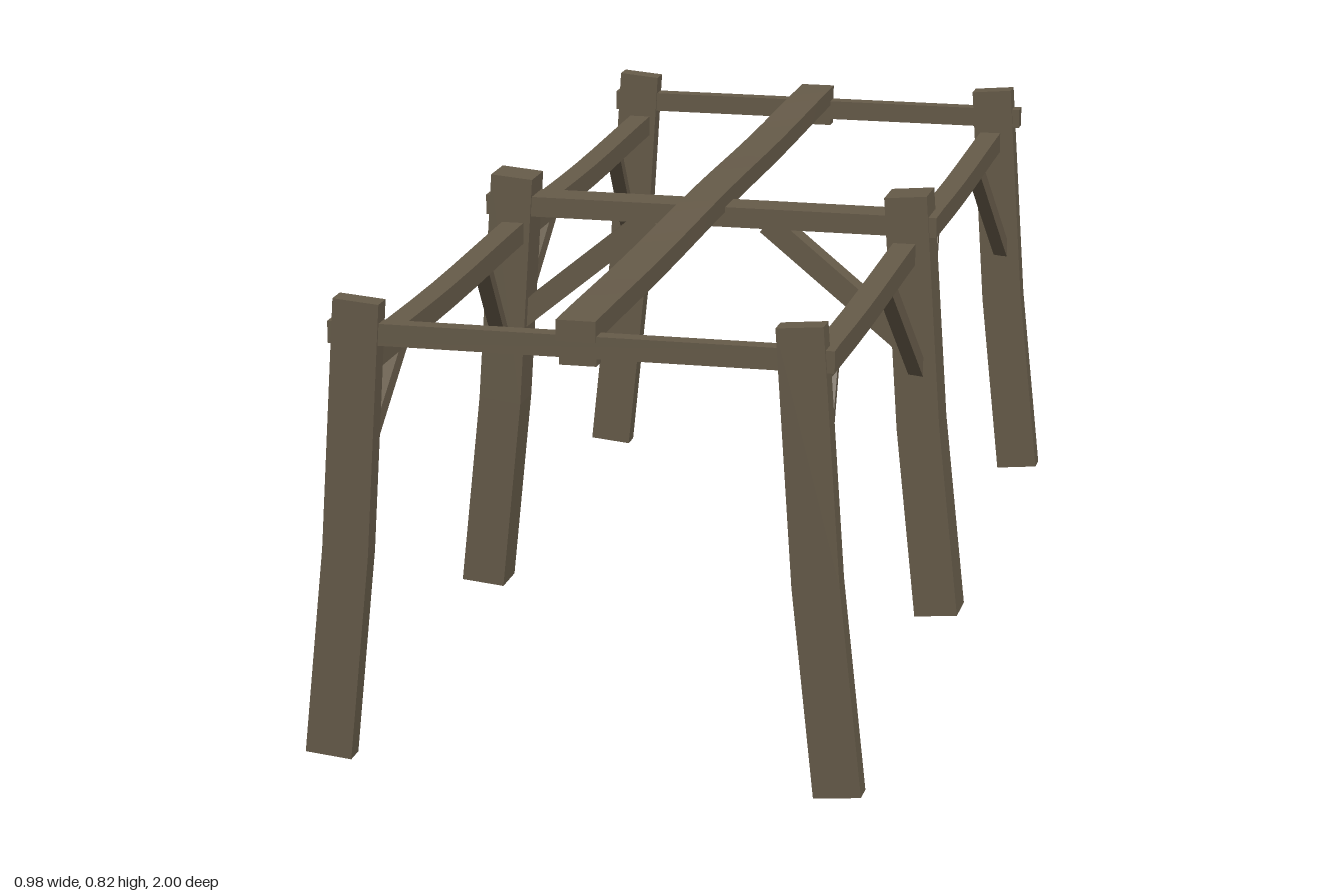
import * as THREE from 'three';

const wood = new THREE.MeshStandardMaterial({ color: 0x665b49 });
wood.name = 'weathered wood';

export function createModel() {
  const group = new THREE.Group();
  group.name = 'timberFrame';

  const add = (name, geometry) => {
    const mesh = new THREE.Mesh(geometry, wood);
    mesh.name = name;
    group.add(mesh);
    return mesh;
  };

  // Square timber running between two points
  const strut = (name, a, b, width, depth) => {
    const start = new THREE.Vector3(...a), end = new THREE.Vector3(...b);
    const mesh = add(name, new THREE.BoxGeometry(width, depth, start.distanceTo(end)));
    mesh.position.copy(start).add(end).multiplyScalar(0.5);
    mesh.lookAt(end);
    return mesh;
  };

  // Long timber along z that sags in each bay and wanders a little sideways
  const longBeam = (name, x, y, width, height, z0, z1, sag, sway) => {
    const g = new THREE.BoxGeometry(width, height, z1 - z0, 1, 1, 16);
    g.translate(0, 0, (z0 + z1) / 2);
    const p = g.attributes.position;
    for (let i = 0; i < p.count; i++) {
      const z = p.getZ(i), bay = Math.sin(Math.PI * Math.min(1, Math.abs(z))) ** 2;
      p.setXYZ(i, p.getX(i) + x - sway * bay, p.getY(i) + y - sag * bay, z);
    }
    g.computeVertexNormals();
    add(name, g);
  };

  // Leaning posts with a slight bend halfway up
  const post = (side, z, depth) => {
    const outline = [[0.406, 0], [0.488, 0.008], [0.448, 0.38], [0.418, 0.82], [0.338, 0.813], [0.367, 0.37]];
    const shape = new THREE.Shape(outline.map(([x, y]) => new THREE.Vector2(side * x, y)));
    const g = new THREE.ExtrudeGeometry(shape, { depth, bevelEnabled: false });
    g.translate(0, 0, z - depth / 2);
    add('post', g);
  };

  const frames = [[-0.98, 0.04], [0, 0.08], [0.98, 0.04]];
  for (const [z, depth] of frames) {
    for (const side of [-1, 1]) post(side, z, depth);

    // Tie beam with tenons through the posts
    const tie = add('tieBeam', new THREE.BoxGeometry(0.866, 0.038, depth - 0.01));
    tie.position.set(0.003, 0.76, z);
  }

  // Pegs under the end ties
  for (const z of [-0.98, 0.98]) {
    const peg = add('ridgePeg', new THREE.BoxGeometry(0.064, 0.05, 0.03));
    peg.position.set(0.003, 0.753, z);
  }

  longBeam('ridgeBeam', 0.001, 0.788, 0.068, 0.036, -1, 1, 0.01, 0.006);

  for (const s of [-1, 1]) {
    longBeam('sideBeam', s * 0.377, 0.709, 0.042, 0.04, -1.0, 0.995, 0.006, 0);

    // Knee braces of the middle frame
    strut('crossBrace', [s * 0.385, 0.525, 0], [s * 0.112, 0.748, 0], 0.045, 0.042);

    // Knee braces below the side beams
    for (const [z, dir] of [[0.97, -1], [0.02, 1], [-0.02, -1], [-0.97, 1]]) {
      strut('sideBrace', [s * 0.404, 0.475, z], [s * 0.38, 0.7, z + dir * 0.225], 0.028, 0.027);
    }
  }

  return group;
}
